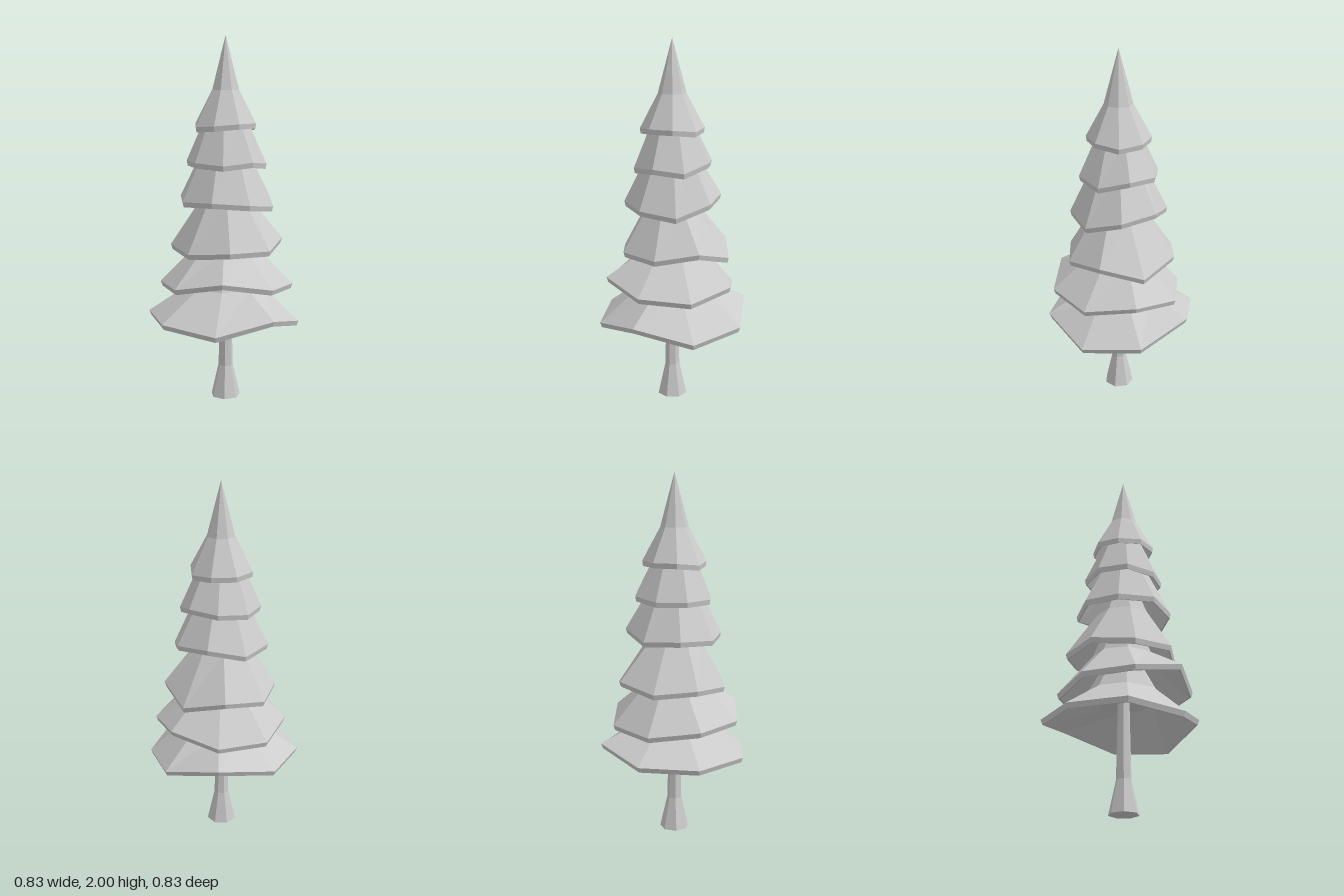
import * as THREE from 'three';

const SIDES = 8;
const AXIS_Z = 0.014; // the trunk and tip sit slightly forward of centre

// Foliage tiers from the ground up: rim centre, rim radius, first corner angle (degrees),
// [radius, height] of the bend and of the top, and the uneven heights of the rim corners.
const TIERS = [
  { x: 0, z: -0.002, r: 0.42, turn: 7.8, bend: [0.2, 0.64], top: [0.11, 0.8],
    rim: [0.467, 0.44, 0.515, 0.455, 0.48, 0.48, 0.49, 0.545] },
  { x: -0.004, z: 0.024, r: 0.366, turn: 5.5, bend: [0.17, 0.855], top: [0.12, 0.98],
    rim: [0.69, 0.655, 0.675, 0.727, 0.67, 0.66, 0.63, 0.64] },
  { x: 0.018, z: 0.006, r: 0.308, turn: -1, bend: [0.15, 1.1], top: [0.1, 1.22],
    rim: [0.835, 0.9, 0.865, 0.87, 0.85, 0.87, 0.855, 0.89] },
  { x: 0.004, z: 0.015, r: 0.264, turn: 19, bend: [0.13, 1.39], top: [0.08, 1.5],
    rim: [1.145, 1.09, 1.115, 1.13, 1.12, 1.13, 1.12, 1.165] },
  { x: 0.006, z: 0.015, r: 0.218, turn: 7, bend: [0.115, 1.555], top: [0.07, 1.67],
    rim: [1.355, 1.315, 1.335, 1.32, 1.33, 1.33, 1.33, 1.345] },
  { x: 0, z: 0.012, r: 0.174, turn: 22, bend: [0.077, 1.71], top: [0, 2],
    rim: [1.52, 1.535, 1.535, 1.525, 1.515, 1.53, 1.53, 1.53] },
];

const material = new THREE.MeshStandardMaterial({ color: 0xcccccc, flatShading: true });

// One ring of corners; height is a number or a list with one entry per corner.
function ring(sides, x, z, radius, height, turn, lift = 0) {
  return Array.from({ length: sides }, (_, i) => {
    const a = THREE.MathUtils.degToRad(turn) + (i / sides) * Math.PI * 2;
    const y = (Array.isArray(height) ? height[i] : height) + lift;
    return [x + radius * Math.cos(a), y, z + radius * Math.sin(a)];
  });
}

// Joins successive rings into a faceted skin.
function skin(rings, name) {
  const n = rings[0].length;
  const positions = rings.flat(2);
  const index = [];
  for (let j = 0; j < rings.length - 1; j++) {
    for (let i = 0; i < n; i++) {
      const a = j * n + i, b = j * n + ((i + 1) % n);
      index.push(a, a + n, b, b, a + n, b + n);
    }
  }
  const indexed = new THREE.BufferGeometry();
  indexed.setAttribute('position', new THREE.Float32BufferAttribute(positions, 3));
  indexed.setIndex(index);
  const geometry = indexed.toNonIndexed();
  geometry.computeVertexNormals();
  const mesh = new THREE.Mesh(geometry, material);
  mesh.name = name;
  return mesh;
}

// A hollow skirt: inside from the middle down to the rim, round the lip, then up the outside.
function foliageTier({ x, z, r, turn, bend, top, rim }, i) {
  const central = (radius, y) => ring(SIDES, 0, AXIS_Z, radius, y, turn);
  return skin([
    central(0, bend[1] - 0.02),
    central(bend[0] * 0.8, bend[1] - 0.04),
    ring(SIDES, x, z, r * 0.94, rim, turn, -0.026),
    ring(SIDES, x, z, r * 0.975, rim, turn, -0.028),
    ring(SIDES, x, z, r, rim, turn),
    central(...bend),
    central(...top),
    central(0, top[1]),
  ], `foliageTier${i + 1}`);
}

export function createModel() {
  const group = new THREE.Group();
  group.name = 'pineTree';

  // Trunk with a flared foot
  const profile = [[0, 0], [0.082, 0], [0.041, 0.18], [0.034, 0.5], [0.03, 0.85], [0, 0.85]];
  group.add(skin(profile.map(([r, y]) => ring(7, 0, AXIS_Z, r, y, 90)), 'trunk'));

  TIERS.forEach((tier, i) => group.add(foliageTier(tier, i)));
  return group;
}
